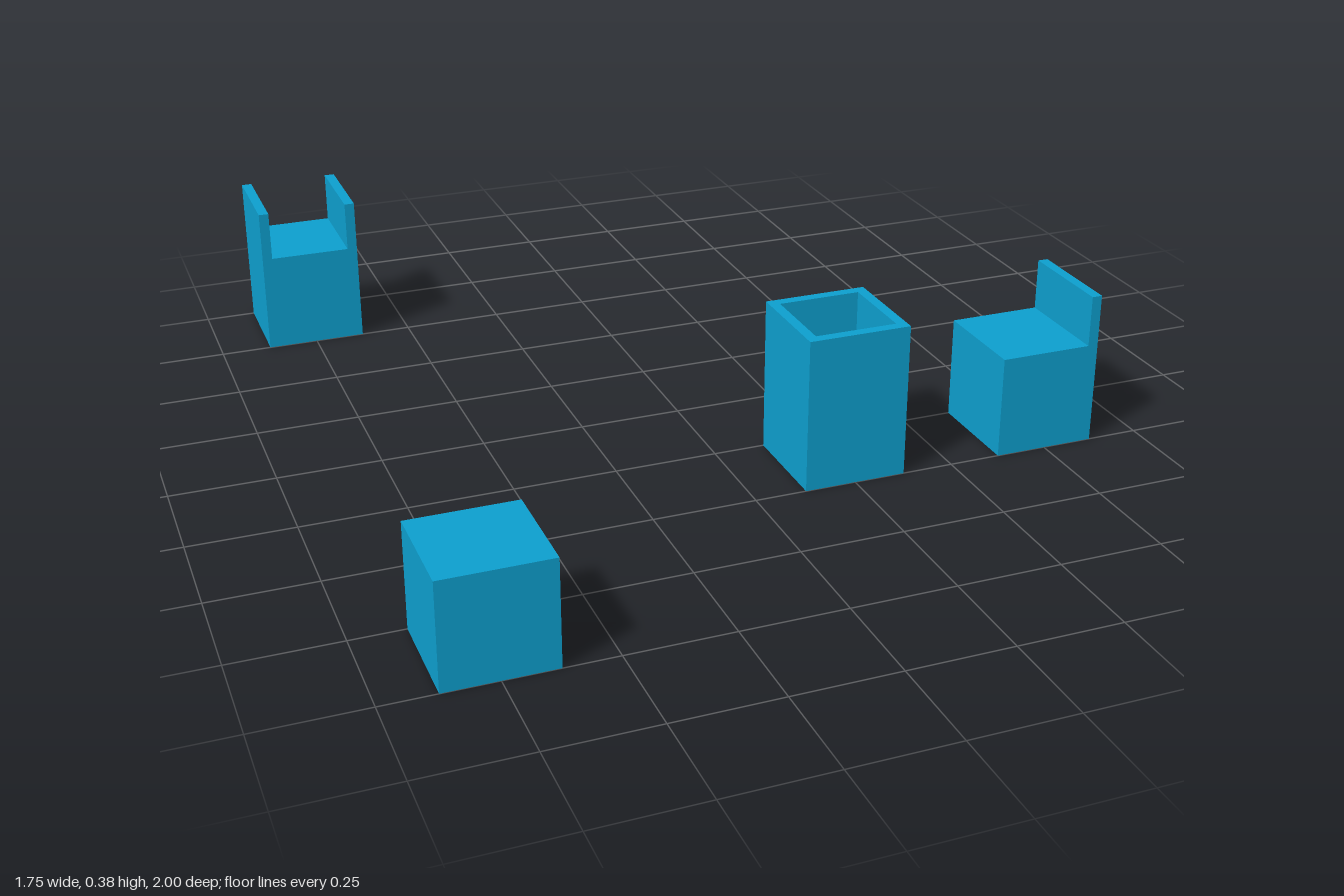
import * as THREE from 'three';

const SIZE = 0.25;   // block footprint and base height
const TOP = 0.375;   // height of the raised walls
const WALL = 0.025;  // wall thickness
const H = SIZE / 2;

export function createModel() {
  const model = new THREE.Group();
  const material = new THREE.MeshStandardMaterial({ color: 0x0d9fce });

  const addBlock = (name, x, z, ...parts) => {
    const block = new THREE.Group();
    block.name = name;
    block.position.set(x, 0, z);
    for (const [partName, geometry] of parts) {
      const mesh = new THREE.Mesh(geometry, material);
      mesh.name = partName;
      block.add(mesh);
    }
    model.add(block);
  };

  // Solid cube standing on the ground
  const cube = () => new THREE.BoxGeometry(SIZE, SIZE, SIZE).translate(0, H, 0);

  // Front profile (x, y) carried through the block's depth
  const profileBlock = (points) => {
    const shape = new THREE.Shape(points.map(([x, y]) => new THREE.Vector2(x, y)));
    return new THREE.ExtrudeGeometry(shape, { depth: SIZE, bevelEnabled: false }).translate(0, 0, -H);
  };

  // Square outline centred on the origin
  const square = (h, Type) => new Type([[-h, -h], [h, -h], [h, h], [-h, h]].map(([x, y]) => new THREE.Vector2(x, y)));

  // Four-sided rim on top of a cube
  const rim = () => {
    const ring = square(H, THREE.Shape);
    ring.holes.push(square(H - WALL, THREE.Path));
    return new THREE.ExtrudeGeometry(ring, { depth: TOP - SIZE, bevelEnabled: false })
      .rotateX(-Math.PI / 2).translate(0, SIZE, 0);
  };

  const inner = H - WALL;

  addBlock('plainBlock', -0.75, 0.875, ['cube', cube()]);

  // Open channel with a wall on each side
  addBlock('twoWallBlock', -0.75, -0.875, ['channel', profileBlock([
    [-H, 0], [H, 0], [H, TOP], [inner, TOP], [inner, SIZE], [-inner, SIZE], [-inner, TOP], [-H, TOP],
  ])]);

  // Single wall on the left side
  addBlock('oneWallBlock', 0.75, 0.375, ['step', profileBlock([
    [-H, 0], [H, 0], [H, TOP], [inner, TOP], [inner, SIZE], [-H, SIZE],
  ])]);

  // Walled on all four sides
  addBlock('fourWallBlock', 0.25, 0.375, ['base', cube()], ['rim', rim()]);

  return model;
}
